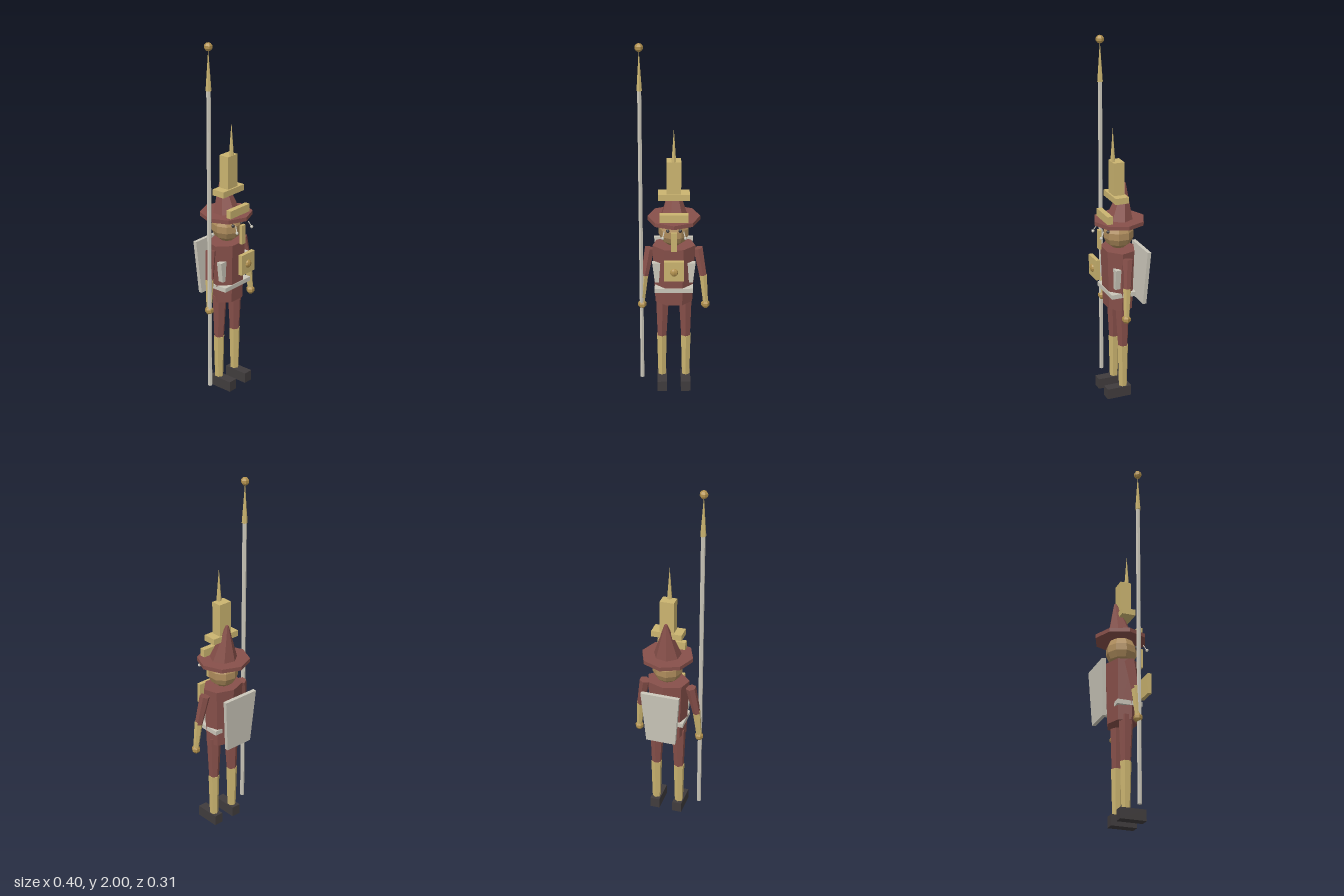
import * as THREE from 'three';

const mat = (name, color) => {
  const m = new THREE.MeshStandardMaterial({ color, flatShading: true });
  m.name = name;
  return m;
};

export function createModel() {
  const red = mat('brick red', 0x87504a);
  const gold = mat('pale gold', 0xcbb470);
  const brass = mat('brass', 0xb3924f);
  const skin = mat('tan skin', 0xae8c5c);
  const silver = mat('pale silver', 0xcbc7ba);
  const black = mat('shoe black', 0x403c3d);

  const model = new THREE.Group();
  const add = (name, geo, m, x = 0, y = 0, z = 0) => {
    const mesh = new THREE.Mesh(geo, m);
    mesh.name = name;
    mesh.position.set(x, y, z);
    model.add(mesh);
    return mesh;
  };
  const box = (name, m, w, h, d, x, y, z) => add(name, new THREE.BoxGeometry(w, h, d), m, x, y, z);
  const ball = (name, m, r, x, y, z, w = 6, h = 5) => add(name, new THREE.SphereGeometry(r, w, h), m, x, y, z);
  // Tapered limb from point a (top) to point b (bottom)
  const limb = (name, m, a, b, ra, rb, sides = 6) => {
    const A = new THREE.Vector3(...a), B = new THREE.Vector3(...b);
    const mesh = add(name, new THREE.CylinderGeometry(ra, rb, A.distanceTo(B), sides), m);
    mesh.position.copy(A).add(B).multiplyScalar(0.5);
    mesh.quaternion.setFromUnitVectors(new THREE.Vector3(0, 1, 0), A.sub(B).normalize());
    return mesh;
  };
  // Flat plate from an outline, centred on its own thickness
  const plate = (name, m, pts, depth, x, y, z) => {
    const shape = new THREE.Shape(pts.map(p => new THREE.Vector2(...p)));
    const geo = new THREE.ExtrudeGeometry(shape, { depth, bevelEnabled: false });
    geo.translate(0, 0, -depth / 2);
    return add(name, geo, m, x, y, z);
  };

  // Torso, belt and chest plate
  const torsoGeo = new THREE.CylinderGeometry(0.12, 0.104, 0.34, 7);
  torsoGeo.rotateY(Math.PI).scale(1, 1, 0.76);
  add('torso', torsoGeo, red, 0, 0.7, -0.008);
  box('belt', silver, 0.21, 0.025, 0.14, 0, 0.623, 0);
  box('chestPlate', gold, 0.108, 0.115, 0.022, 0, 0.773, 0.131);
  ball('chestKnob', brass, 0.023, 0, 0.77, 0.141, 8, 6).scale.z = 0.65;

  // Head and face
  ball('head', skin, 0.085, 0, 0.952, -0.01, 9, 7);
  box('nose', gold, 0.03, 0.108, 0.016, 0, 0.93, 0.101);

  // Wide brimmed hat with a crown leaning back
  add('hatBrim', new THREE.CylinderGeometry(0.143, 0.143, 0.022, 8), red, 0, 1.024, -0.014);
  const crown = new THREE.CylinderGeometry(0.008, 0.077, 0.205, 7);
  crown.rotateY(-0.23);
  add('hatCrown', crown, red, 0, 1.133, -0.03).rotation.x = -0.14;
  box('hatBand', gold, 0.156, 0.044, 0.03, 0, 1.057, 0.069);

  // Tower ornament above the hat
  box('towerBase', gold, 0.17, 0.034, 0.076, 0, 1.161, 0.002);
  box('tower', gold, 0.078, 0.182, 0.06, 0, 1.269, 0.001);
  add('towerSpire', new THREE.ConeGeometry(0.014, 0.185, 6), gold, 0, 1.452, 0.022);

  for (const s of [1, -1]) {
    const side = s > 0 ? 'left' : 'right';
    // Arms
    limb(side + 'UpperArm', red, [s * 0.132, 0.845, -0.012], [s * 0.162, 0.675, 0.006], 0.029, 0.022);
    limb(side + 'Forearm', gold, [s * 0.161, 0.69, 0.006], [s * 0.175, 0.53, 0.014], 0.023, 0.016);
    ball(side + 'Hand', brass, 0.025, s * 0.175, 0.515, 0.015);
    // Legs, boots and shoes
    limb(side + 'Thigh', red, [s * 0.063, 0.56, -0.007], [s * 0.066, 0.3, -0.01], 0.041, 0.028);
    limb(side + 'Boot', gold, [s * 0.067, 0.31, -0.01], [s * 0.067, 0.055, -0.01], 0.031, 0.024);
    box(side + 'Shoe', black, 0.054, 0.06, 0.142, s * 0.066, 0.03, 0.021);
    // White lapel wedge on the slanted side of the coat
    const lapel = [[-0.022, 0.055], [0.022, 0.055], [0.008, -0.06], [-0.014, -0.06]];
    plate(side + 'Lapel', silver, lapel.map(([x, y]) => [s * x, y]), 0.03, s * 0.096, 0.725, 0.036);
    // Eyes and moustache tips
    ball(side + 'Eye', black, 0.01, s * 0.034, 0.978, 0.063);
    limb(side + 'Whisker', silver, [s * 0.052, 0.99, 0.097], [s * 0.061, 0.958, 0.114], 0.003, 0.003, 5);
    ball(side + 'WhiskerTip', silver, 0.009, s * 0.061, 0.958, 0.114);
  }

  // Shield on the back, tilted
  const shield = plate('shield', silver,
    [[-0.108, 0.155], [-0.083, -0.155], [0.083, -0.155], [0.108, 0.155]], 0.021, 0, 0.697, -0.14);
  shield.rotation.x = -0.05;

  // Tall staff with a gold point and ball
  const sx = -0.178, sz = 0.021;
  add('staffShaft', new THREE.CylinderGeometry(0.012, 0.012, 1.715, 6), silver, sx, 0.913, sz);
  add('staffPoint', new THREE.ConeGeometry(0.016, 0.22, 6), gold, sx, 1.86, sz);
  ball('staffBall', brass, 0.023, sx, 1.977, sz);

  return model;
}
